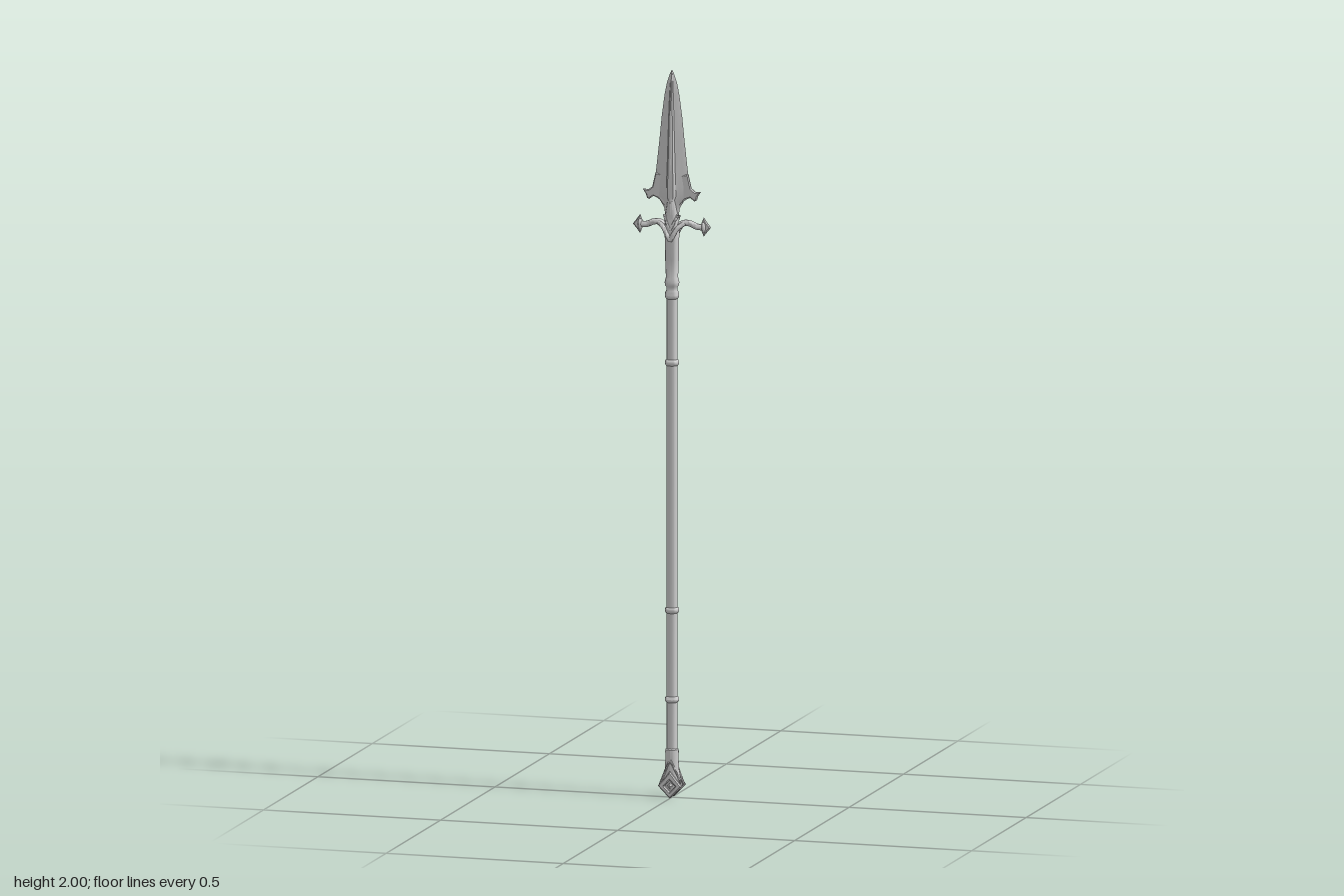
import * as THREE from 'three';
import { toCreasedNormals } from 'three/addons/utils/BufferGeometryUtils.js';

const metal = new THREE.MeshStandardMaterial({ color: 0xcccccc });
const V = (x, y, z = 0) => new THREE.Vector3(x, y, z);

function add(parent, name, geometry, crease = 0.6) {
  const mesh = new THREE.Mesh(toCreasedNormals(geometry, crease), metal);
  mesh.name = name;
  parent.add(mesh);
  return mesh;
}

// Skin a closed (x, z) section through rows of [y, half width, half depth], bottom to top
function loft(section, rows) {
  const n = section.length, pos = [], idx = [];
  for (const [y, w, d] of rows)
    for (const [x, z] of section) pos.push(x * w, y, z * d);
  for (let r = 0; r < rows.length - 1; r++)
    for (let i = 0; i < n; i++) {
      const a = r * n + i, b = r * n + (i + 1) % n;
      idx.push(a, a + n, b, b, a + n, b + n);
    }
  const g = new THREE.BufferGeometry();
  g.setAttribute('position', new THREE.Float32BufferAttribute(pos, 3));
  g.setIndex(idx);
  return g;
}

const circle = (n) => Array.from({ length: n }, (_, i) => {
  const a = (i / n) * Math.PI * 2;
  return [Math.cos(a), Math.sin(a)];
});

const lathe = (pts) =>
  new THREE.LatheGeometry(pts.map(([r, y]) => new THREE.Vector2(r, y)), 24);

// Bevelled plate centred on z = 0
function plate(points, depth, bevel, hole) {
  const shape = new THREE.Shape(points.map((p) => new THREE.Vector2(...p)));
  if (hole) shape.holes.push(new THREE.Path(hole.map((p) => new THREE.Vector2(...p))));
  return new THREE.ExtrudeGeometry(shape, {
    depth, bevelEnabled: true, bevelSize: bevel, bevelOffset: -bevel,
    bevelThickness: bevel, bevelSegments: 1,
  }).translate(0, 0, -depth / 2);
}

export function createModel() {
  const spear = new THREE.Group();
  spear.name = 'spear';

  // Shaft in four lengths, parted by rings
  const shaft = new THREE.Group();
  shaft.name = 'shaft';
  spear.add(shaft);
  for (const [name, y0, y1, r] of [
    ['lowerShaft', 0.1, 0.27, 0.0145], ['lowerGrip', 0.27, 0.515, 0.015],
    ['mainGrip', 0.515, 1.195, 0.0155], ['upperShaft', 1.195, 1.4, 0.0145],
  ])
    add(shaft, name, new THREE.CylinderGeometry(r, r, y1 - y0, 24).translate(0, (y0 + y1) / 2, 0));
  for (const y of [0.27, 0.515, 1.195])
    add(shaft, 'shaftRing', lathe([[0.014, y - 0.009], [0.018, y - 0.006], [0.0195, y],
      [0.018, y + 0.006], [0.014, y + 0.009]]), 1);

  // Socket with a double collar at its foot
  add(spear, 'socket', lathe([[0.014, 1.37], [0.018, 1.373], [0.0195, 1.381], [0.018, 1.389],
    [0.0155, 1.394], [0.0155, 1.403], [0.019, 1.408], [0.02, 1.416], [0.018, 1.424],
    [0.0165, 1.43], [0.0185, 1.48], [0.0195, 1.53], [0.02, 1.575], [0.017, 1.6], [0, 1.61]]), 0.8);

  // Fluted blade with a raised midrib
  const quarter = [[1, 0], [0.72, 0.26], [0.42, 0.36], [0.26, 0.5], [0.15, 0.9], [0, 1]];
  const half = [...quarter, ...quarter.slice(0, -1).reverse().map(([x, z]) => [-x, z])];
  const section = [...half, ...half.slice(1, -1).reverse().map(([x, z]) => [x, -z])];
  const blade = new THREE.Group();
  blade.name = 'blade';
  spear.add(blade);
  add(blade, 'bladeBody', loft(section, [
    [1.575, 0.018, 0.018], [1.6, 0.019, 0.018], [1.62, 0.022, 0.018], [1.64, 0.034, 0.018],
    [1.652, 0.052, 0.018], [1.68, 0.051, 0.018], [1.72, 0.045, 0.017], [1.8, 0.036, 0.015],
    [1.87, 0.029, 0.013], [1.93, 0.021, 0.011], [1.965, 0.014, 0.008], [1.988, 0.006, 0.005],
    [2, 0, 0],
  ]), 0.5);
  add(blade, 'bladeNeck', loft(circle(16), [
    [1.57, 0.02, 0.019], [1.6, 0.018, 0.018], [1.63, 0.013, 0.018], [1.66, 0.009, 0.018], [1.72, 0, 0.012],
  ]), 0.8);

  for (const s of [1, -1]) {
    // Barb curling out from the base of the blade
    const barb = [[0.02, 1.625], [0.038, 1.645], [0.052, 1.65], [0.064, 1.641], [0.07, 1.644],
      [0.073, 1.655], [0.082, 1.668], [0.066, 1.667], [0.055, 1.676], [0.046, 1.715], [0.02, 1.71]];
    add(blade, 'barb', plate(s > 0 ? barb : barb.map(([x, y]) => [-x, y]).reverse(), 0.004, 0.003), 0.4);
  }

  // Cross guard: arms sweep up out of a V and finish in pointed knobs
  const guard = new THREE.Group();
  guard.name = 'guard';
  spear.add(guard);
  for (const s of [1, -1]) {
    const arm = new THREE.CatmullRomCurve3([V(s * 0.012, 1.565), V(s * 0.03, 1.579),
      V(s * 0.05, 1.58), V(s * 0.07, 1.572), V(s * 0.092, 1.571)]);
    add(guard, 'guardArm', new THREE.TubeGeometry(arm, 20, 0.0085, 10), 1);
    for (const f of [1, -1]) {
      const strap = new THREE.CatmullRomCurve3([V(0, 1.532, f * 0.019), V(s * 0.009, 1.549, f * 0.019),
        V(s * 0.02, 1.567, f * 0.014), V(s * 0.036, 1.58, f * 0.004)]);
      add(guard, 'guardStrap', new THREE.TubeGeometry(strap, 14, 0.0065, 8), 1);
      const rib = new THREE.CatmullRomCurve3([V(0, 1.562, f * 0.019),
        V(s * 0.011, 1.583, f * 0.016), V(s * 0.019, 1.602, f * 0.008)]);
      add(guard, 'guardRib', new THREE.TubeGeometry(rib, 10, 0.004, 8), 1);
    }
    const knob = add(guard, 'guardKnob', new THREE.SphereGeometry(1, 16, 10), 1);
    knob.scale.set(0.006, 0.016, 0.011);
    knob.position.set(s * 0.09, 1.571, 0);
    const tip = [[0.084, 1.56], [0.09, 1.546], [0.099, 1.558], [0.11, 1.571],
      [0.099, 1.585], [0.09, 1.598], [0.084, 1.583]];
    add(guard, 'guardTip', plate(s > 0 ? tip : tip.map(([x, y]) => [-x, y]).reverse(), 0.002, 0.003), 0.4);
  }

  // Butt cap: flared foot with a framed lozenge on front and back
  const butt = new THREE.Group();
  butt.name = 'butt';
  spear.add(butt);
  add(butt, 'buttCap', loft(circle(16), [
    [0.004, 0, 0], [0.006, 0.006, 0.014], [0.02, 0.02, 0.017], [0.036, 0.031, 0.017],
    [0.055, 0.024, 0.018], [0.075, 0.02, 0.018], [0.11, 0.0175, 0.018], [0.126, 0.0185, 0.0185],
    [0.132, 0.018, 0.018], [0.135, 0.014, 0.014],
  ]), 0.5);
  for (const f of [1, -1]) {
    const lozenge = add(butt, 'buttLozenge', plate(
      [[0, 0], [0.034, 0.034], [0.018, 0.052], [0, 0.074], [-0.018, 0.052], [-0.034, 0.034]], 0.006, 0.003,
      [[0, 0.018], [-0.015, 0.034], [0, 0.05], [0.015, 0.034]]), 0.4);
    lozenge.position.z = f * 0.018;
    const stud = add(butt, 'buttStud', new THREE.OctahedronGeometry(1), 0.1);
    stud.scale.set(0.009, 0.01, 0.006);
    stud.position.set(0, 0.034, f * 0.017);
    for (const s of [1, -1]) {
      const edge = new THREE.CatmullRomCurve3([V(s * 0.031, 0.036, f * 0.01), V(s * 0.021, 0.06, f * 0.012),
        V(s * 0.01, 0.085, f * 0.016), V(0, 0.105, f * 0.018)]);
      add(butt, 'buttStrap', new THREE.TubeGeometry(edge, 12, 0.003, 8), 1);
    }
  }
  return spear;
}
